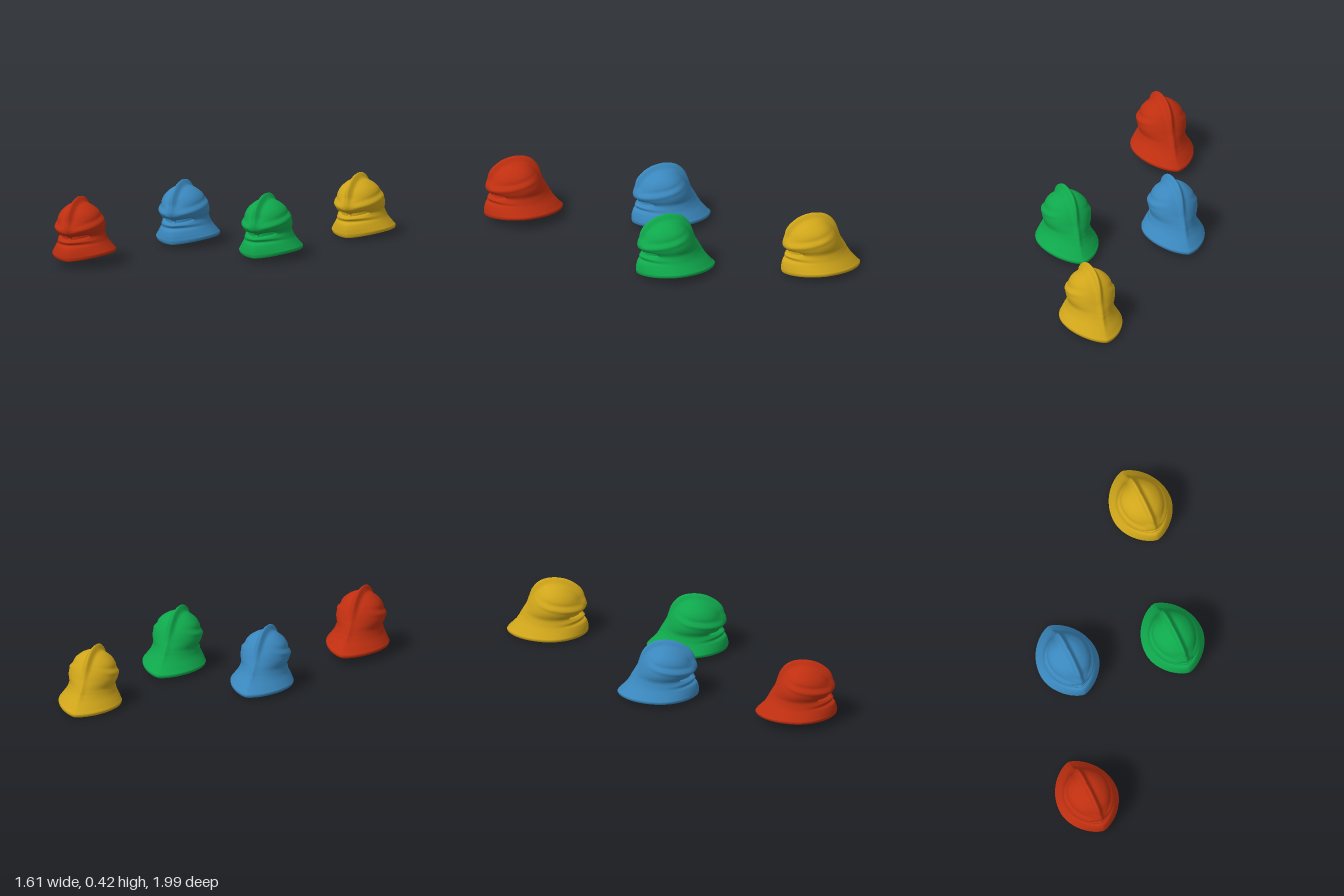
import * as THREE from 'three';

const smooth = THREE.MathUtils.smoothstep;
const bell = (d, s) => Math.exp(-(d * d) / (s * s));

// Horizontal sections from rim to crown: [height, half width, front z, back z]
const OUTER = [
  [0.004, 0.168, 0.225, -0.22], [0, 0.184, 0.243, -0.243], [0.018, 0.19, 0.25, -0.25],
  [0.035, 0.182, 0.25, -0.235], [0.06, 0.17, 0.247, -0.213], [0.088, 0.157, 0.238, -0.188],
  [0.104, 0.15, 0.219, -0.176], [0.122, 0.144, 0.228, -0.163], [0.135, 0.14, 0.214, -0.156],
  [0.147, 0.138, 0.205, -0.149], [0.16, 0.14, 0.214, -0.142], [0.178, 0.146, 0.232, -0.132],
  [0.2, 0.149, 0.233, -0.12], [0.222, 0.146, 0.222, -0.11], [0.245, 0.139, 0.205, -0.098],
  [0.275, 0.126, 0.188, -0.08], [0.3, 0.108, 0.165, -0.06], [0.325, 0.077, 0.13, -0.032],
  [0.34, 0.045, 0.092, 0], [0.347, 0, 0.045, 0.045],
];
const INNER = [
  [0.004, 0.168, 0.225, -0.22], [0.06, 0.152, 0.225, -0.19], [0.12, 0.126, 0.2, -0.14],
  [0.2, 0.125, 0.195, -0.1], [0.27, 0.105, 0.165, -0.065], [0.31, 0.07, 0.11, -0.015],
  [0.325, 0, 0.045, 0.045],
];

// Crest, swept brow ridges and eye slits
function sculpt(p) {
  const { x, y, z } = p;
  const ax = Math.abs(x);

  const side = smooth(z, -0.1, 0.04) * smooth(ax, 0.02, 0.07);
  const sweep = 0.2 * (0.15 - z);
  const ridge = 0.006 * bell(y - 0.205 - sweep, 0.014) - 0.004 * bell(y - 0.235 - sweep, 0.012);
  const crest = bell(x, 0.017) * (z > 0.045
    ? 0.034 * smooth(y, 0.16, 0.3)
    : 0.01 * smooth(y, 0.04, 0.15) + 0.024 * smooth(y, 0.2, 0.33));
  const out = new THREE.Vector3(x, Math.max(y - 0.2, 0), z - 0.05).normalize();
  p.addScaledVector(out, crest + ridge * side);

  if (z > 0.06) {
    const span = smooth(ax, 0.008, 0.022) * (1 - smooth(ax, 0.085, 0.105));
    p.z -= 0.045 * bell(y - 0.141 - 0.14 * ax, 0.008) * span;
  }
  return p;
}

// Skin a stack of sections, pointed at front and back near the rim and rounder at the crown
function shell(rows, steps, cols, inside) {
  const yCurve = new THREE.CatmullRomCurve3(rows.map(r => new THREE.Vector3(r[0], 0, 0)), false, 'catmullrom');
  const sCurve = new THREE.CatmullRomCurve3(rows.map(r => new THREE.Vector3(r[1], r[2], r[3])), false, 'catmullrom');
  const n = (rows.length - 1) * steps;
  const pos = [], index = [];
  for (let i = 0; i <= n; i++) {
    const y = yCurve.getPoint(i / n).x;
    const s = sCurve.getPoint(i / n);
    const mid = 0.02 + 0.025 * Math.min(y / rows[rows.length - 1][0], 1);
    const power = 1.35 - 0.35 * smooth(y, 0.1, 0.27);
    for (let j = 0; j < cols; j++) {
      const a = (j / cols) * Math.PI * 2;
      const t = a - 0.25 * Math.sin(2 * a);
      const sn = Math.sin(t), cs = Math.cos(t);
      const x = Math.sign(sn) * Math.max(s.x, 0) * Math.abs(sn) ** power;
      const z = mid + cs * (cs > 0 ? s.y - mid : mid - s.z);
      const arch = (0.024 * sn * sn + 0.008 * Math.max(cs, 0)) * (1 - smooth(y, 0, 0.12));
      const p = new THREE.Vector3(x, y + arch, z);
      if (!inside) sculpt(p);
      pos.push(p.x, p.y, p.z);
      if (i < n) {
        const b = i * cols + (j + 1) % cols, c = i * cols + j;
        if (inside) index.push(c, c + cols, b, b, c + cols, b + cols);
        else index.push(c, b, c + cols, b, b + cols, c + cols);
      }
    }
  }
  const g = new THREE.BufferGeometry();
  g.setAttribute('position', new THREE.Float32BufferAttribute(pos, 3));
  g.setIndex(index);
  g.computeVertexNormals();
  return g;
}

export function createModel() {
  const model = new THREE.Group();
  model.name = 'helmets';
  const outer = shell(OUTER, 5, 112, false);
  const inner = shell(INNER, 6, 56, true);

  // Four equal helmets, slightly turned and tilted
  const helmets = [
    ['redHelmet', 0xbf2f10, -0.615, 0.04, 0.745],
    ['blueHelmet', 0x3a87bd, -0.275, 0.014, -0.092],
    ['greenHelmet', 0x0fa84c, 0.355, 0.014, 0.1],
    ['yellowHelmet', 0xcfa51a, 0.615, 0.002, -0.75],
  ];
  for (const [name, color, x, y, z] of helmets) {
    const material = new THREE.MeshStandardMaterial({ color, side: THREE.DoubleSide });
    const helmet = new THREE.Group();
    helmet.name = name;
    const shellMesh = new THREE.Mesh(outer, material);
    shellMesh.name = 'outerShell';
    const liningMesh = new THREE.Mesh(inner, material);
    liningMesh.name = 'innerShell';
    helmet.add(shellMesh, liningMesh);
    helmet.position.set(x, y, z);
    helmet.rotation.set(0, -0.06, 0.06);
    model.add(helmet);
  }
  return model;
}
